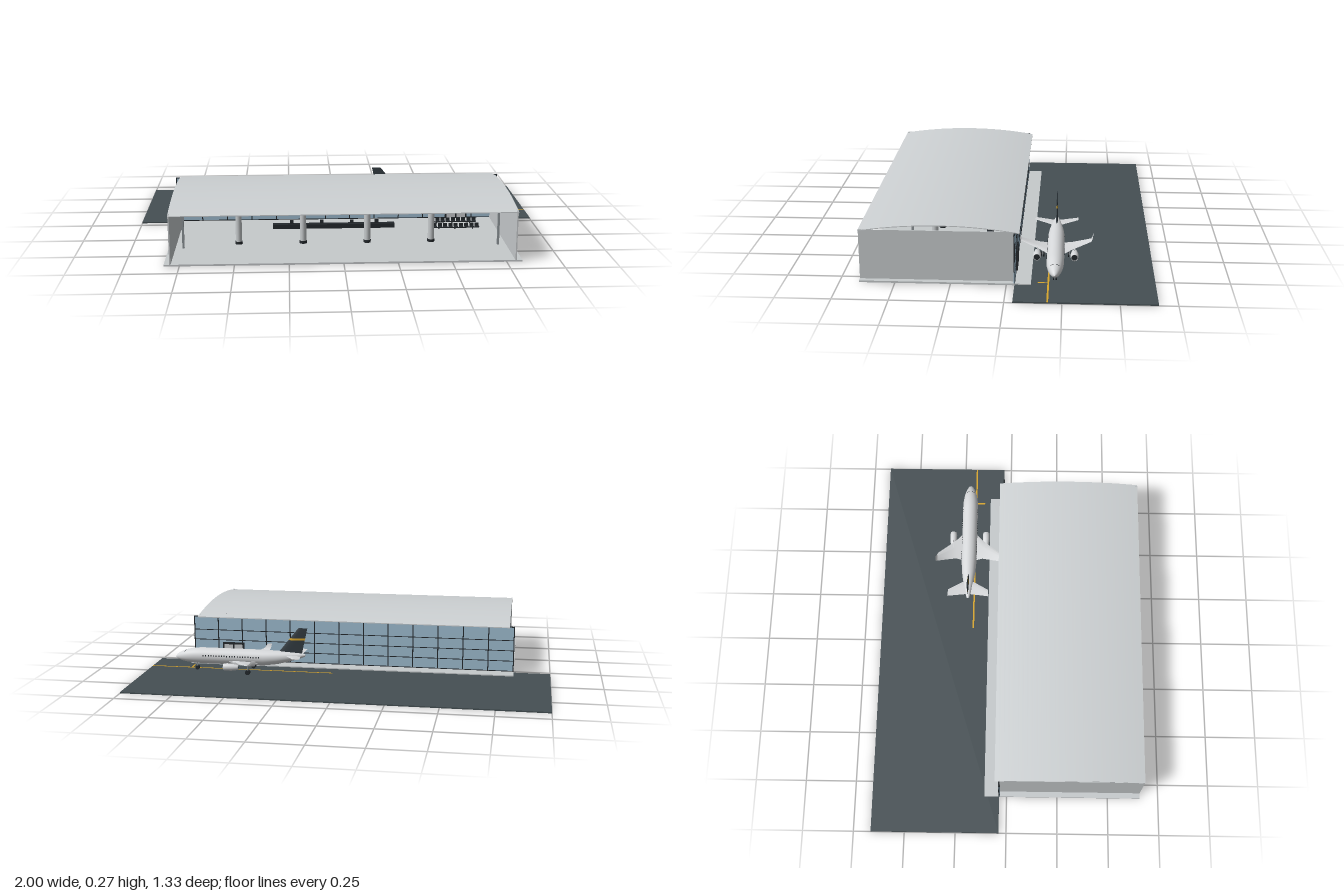
import * as THREE from 'three';
import { toCreasedNormals } from 'three/addons/utils/BufferGeometryUtils.js';

const paint = (name, color, side = THREE.FrontSide) => {
  const m = new THREE.MeshStandardMaterial({ color, side });
  m.name = name;
  return m;
};

export function createModel() {
  const concrete = paint('lightConcrete', 0xc6cacc);
  const roofMetal = paint('roofMetal', 0xcdd1d3, THREE.DoubleSide);
  const asphalt = paint('asphalt', 0x454f53);
  const glass = paint('blueGlass', 0x9fbdd1);
  const dark = paint('darkMetal', 0x23282c);
  const white = paint('aircraftWhite', 0xd6d8da);
  const navy = paint('darkTail', 0x333c42);
  const yellow = paint('yellowPaint', 0xd9a62b);
  const steel = paint('steel', 0x8d9498);

  const model = new THREE.Group();
  model.name = 'airportTerminal';
  const group = (name) => {
    const g = new THREE.Group();
    g.name = name;
    model.add(g);
    return g;
  };
  const add = (parent, name, geo, mat, x = 0, y = 0, z = 0) => {
    const m = new THREE.Mesh(geo, mat);
    m.name = name;
    m.position.set(x, y, z);
    parent.add(m);
    return m;
  };
  // Box given by its minimum and maximum on each axis
  const box = (parent, name, mat, x0, x1, y0, y1, z0, z1) =>
    add(parent, name, new THREE.BoxGeometry(x1 - x0, y1 - y0, z1 - z0), mat,
      (x0 + x1) / 2, (y0 + y1) / 2, (z0 + z1) / 2);

  // Ground
  const ground = group('ground');
  box(ground, 'apron', asphalt, -1, 1, 0, 0.006, -0.665, -0.037);
  box(ground, 'taxiLine', yellow, 0.07, 1, 0.006, 0.0068, -0.191, -0.183);
  box(ground, 'stopLine', yellow, 0.788, 0.796, 0.006, 0.0068, -0.183, -0.14);
  box(ground, 'terminalFloor', concrete, -0.82, 0.82, 0.003, 0.011, -0.11, 0.66);

  // Side walls and posts
  const hall = group('terminalHall');
  for (const s of [-1, 1]) {
    box(hall, 'sideWall', concrete, s * 0.791 - 0.003, s * 0.791 + 0.003, 0.011, 0.245, -0.033, 0.66);
    box(hall, 'wallPost', steel, s * 0.75 - 0.005, s * 0.75 + 0.005, 0.011, 0.25, 0.415, 0.425);
  }

  // Arched roof shell, drawn in side profile and extruded across the hall
  const archY = (t) => 0.241 + 0.03 * (1 - t * t);
  const profile = [];
  for (let i = 0; i <= 32; i++) {
    const t = i / 16 - 1;
    profile.push(new THREE.Vector2(0.303 + 0.36 * t, archY(t)));
  }
  const roofShape = new THREE.Shape([...profile.map((p) => new THREE.Vector2(p.x, p.y - 0.004)), ...profile.reverse()]);
  const roofGeo = new THREE.ExtrudeGeometry(roofShape, { depth: 1.59, bevelEnabled: false });
  roofGeo.translate(0, 0, -0.795).rotateY(-Math.PI / 2);
  add(hall, 'archedRoof', toCreasedNormals(roofGeo, 0.4), roofMetal);

  // Columns with dark collars
  for (let i = 0; i < 4; i++) {
    const x = -0.49 + i * 0.308;
    add(hall, 'column', new THREE.CylinderGeometry(0.015, 0.015, 0.245, 20), concrete, x, 0.1335, 0.36);
    for (const y of [0.018, 0.23])
      add(hall, 'columnCollar', new THREE.CylinderGeometry(0.0175, 0.0175, 0.013, 20), dark, x, y, 0.36);
  }

  // Glazed wall with mullions
  const glazing = group('glassWall');
  box(glazing, 'glassPane', glass, -0.82, 0.82, 0.011, 0.237, -0.038, -0.034);
  for (let i = 0; i <= 13; i++) {
    const x = -0.8175 + i * 1.635 / 13;
    box(glazing, 'mullion', dark, x - 0.0025, x + 0.0025, 0.011, 0.24, -0.04, -0.032);
  }
  for (const y of [0.013, 0.065, 0.118, 0.17, 0.238])
    box(glazing, 'rail', dark, -0.82, 0.82, y - 0.0018, y + 0.0018, -0.0395, -0.0325);

  // Boarding door
  for (const x of [0.56, 0.612, 0.665])
    box(glazing, 'doorPost', dark, x - 0.004, x + 0.004, 0.011, 0.105, -0.045, -0.027);
  box(glazing, 'doorHeader', dark, 0.556, 0.669, 0.097, 0.107, -0.045, -0.027);
  box(glazing, 'doorLeaf', concrete, 0.564, 0.661, 0.011, 0.097, -0.041, -0.031);

  // Hanging boards, counter and seats
  const interior = group('interior');
  for (const [x0, x1, y0, y1, z] of [
    [-0.165, 0.105, 0.115, 0.157, 0.1], [0.265, 0.4, 0.15, 0.177, 0.1], [0.545, 0.68, 0.122, 0.157, 0]]) {
    box(interior, 'hangingBoard', dark, x0, x1, y0, y1, z - 0.004, z + 0.004);
    for (const x of [x0 + 0.02, x1 - 0.02])
      box(interior, 'boardHanger', dark, x - 0.001, x + 0.001, y1, 0.25, z - 0.001, z + 0.001);
  }
  box(interior, 'gateStripe', yellow, 0.545, 0.68, 0.115, 0.121, -0.004, 0.004);
  box(interior, 'counter', dark, -0.33, 0.28, 0.011, 0.033, 0.1, 0.13);
  for (const x of [-0.235, -0.085, 0.065, 0.19])
    box(interior, 'counterScreen', dark, x - 0.009, x + 0.009, 0.033, 0.052, 0.113, 0.117);
  for (const z of [0.06, 0.16]) {
    for (let i = 0; i < 9; i++) {
      const x = 0.48 + i * 0.0265;
      box(interior, 'seatPad', dark, x - 0.01, x + 0.01, 0.019, 0.023, z - 0.01, z + 0.01);
      box(interior, 'seatBack', dark, x - 0.01, x + 0.01, 0.02, 0.037, z - 0.012, z - 0.009);
    }
    box(interior, 'seatBeam', dark, 0.47, 0.702, 0.015, 0.019, z - 0.002, z + 0.002);
    for (const x of [0.5, 0.58, 0.67])
      box(interior, 'seatLeg', dark, x - 0.002, x + 0.002, 0.011, 0.016, z - 0.008, z + 0.008);
  }

  // Aircraft, nose towards +x
  const plane = group('aircraft');
  plane.position.set(0, 0.08, -0.216);

  // Body of revolution with the tail swept upward
  const body = new THREE.LatheGeometry([
    [0, 0.2], [0.007, 0.203], [0.015, 0.235], [0.025, 0.285], [0.034, 0.345], [0.039, 0.41], [0.04, 0.47],
    [0.04, 0.6], [0.04, 0.725], [0.038, 0.765], [0.032, 0.805], [0.023, 0.835], [0.012, 0.857], [0, 0.866],
  ].map(([r, l]) => new THREE.Vector2(r, l)), 32);
  body.rotateZ(-Math.PI / 2);
  const p = body.attributes.position;
  for (let i = 0; i < p.count; i++) {
    const x = p.getX(i);
    if (x < 0.42) p.setY(i, p.getY(i) + 0.02 * ((0.42 - x) / 0.22) ** 1.5);
    if (x > 0.73) p.setY(i, p.getY(i) - 0.01 * ((x - 0.73) / 0.136) ** 2);
  }
  body.computeVertexNormals();
  add(plane, 'fuselage', body, white);

  // Cabin and cockpit windows, each plate crossing the body
  for (let i = 0; i < 22; i++)
    add(plane, 'cabinWindow', new THREE.BoxGeometry(0.005, 0.007, 0.0793), dark, 0.43 + i * 0.0135, 0.008, 0);
  for (const s of [-1, 1]) {
    const w = add(plane, 'cockpitWindow', new THREE.BoxGeometry(0.014, 0.003, 0.014), dark, 0.817, 0.018, s * 0.011);
    w.rotation.set(s * 0.5, 0, -0.8);
  }

  // Aerofoil loft; each section is [leading edge x, chord, thickness, y, z], z rising
  const aerofoil = [[0, 0], [-0.15, 0.42], [-0.4, 0.5], [-1, 0], [-0.4, -0.5], [-0.15, -0.42]];
  const loft = (sections) => {
    const n = aerofoil.length, pos = [], idx = [];
    for (const [x, c, t, y, z] of sections)
      for (const [u, v] of aerofoil) pos.push(x + u * c, y + v * t, z);
    const last = (sections.length - 1) * n;
    for (let i = 0; i < last; i += n)
      for (let j = 0; j < n; j++) {
        const k = (j + 1) % n;
        idx.push(i + j, i + k, i + n + k, i + j, i + n + k, i + n + j);
      }
    for (let j = 1; j < n - 1; j++) idx.push(0, j + 1, j, last, last + j, last + j + 1);
    const g = new THREE.BufferGeometry();
    g.setAttribute('position', new THREE.Float32BufferAttribute(pos, 3));
    g.setIndex(idx);
    return toCreasedNormals(g, 0.7);
  };
  const mirrored = (half) => [...half.map(([x, c, t, y, z]) => [x, c, t, y, -z]).reverse(), ...half];

  add(plane, 'wings', loft(mirrored([
    [0.6, 0.17, 0.013, -0.022, 0.02], [0.545, 0.105, 0.009, -0.015, 0.07],
    [0.465, 0.045, 0.004, -0.002, 0.165], [0.45, 0.034, 0.004, 0.004, 0.171], [0.432, 0.022, 0.003, 0.027, 0.176]])), white);
  add(plane, 'tailplane', loft(mirrored([
    [0.305, 0.08, 0.007, 0.016, 0.006], [0.246, 0.036, 0.003, 0.025, 0.105]])), white);

  // Fin, lofted flat and turned upright
  const finAt = (z, grow = 0) => {
    const t = (z - 0.02) / 0.137;
    return [0.345 - 0.11 * t + grow, 0.125 - 0.08 * t + grow * 2, 0.009 - 0.004 * t + grow, 0, z];
  };
  add(plane, 'tailFin', loft([finAt(0.02), finAt(0.157)]).rotateX(-Math.PI / 2), navy);
  add(plane, 'finBand', loft([finAt(0.095, 0.0006), finAt(0.105, 0.0006)]).rotateX(-Math.PI / 2), yellow);

  // Engines and pylons
  const nacelle = new THREE.LatheGeometry(
    [[0.009, -0.04], [0.013, -0.037], [0.018, -0.005], [0.0185, 0.02], [0.0165, 0.036], [0.014, 0.034]]
      .map(([r, l]) => new THREE.Vector2(r, l)), 24).rotateZ(-Math.PI / 2);
  const disc = new THREE.CylinderGeometry(0.0155, 0.01, 0.07, 24).rotateZ(-Math.PI / 2);
  // Landing gear: a strut with paired wheels
  const gear = (name, x, z, r) => {
    const bottom = 0.006 - 0.08;
    add(plane, name + 'Strut', new THREE.CylinderGeometry(0.0028, 0.0028, 0.045, 10), steel, x, bottom + r + 0.02, z);
    for (const s of [-1, 1])
      add(plane, name + 'Wheel', new THREE.CylinderGeometry(r, r, 0.005, 20).rotateX(Math.PI / 2), dark, x, bottom + r, z + s * 0.006);
  };
  for (const s of [-1, 1]) {
    add(plane, 'engineNacelle', nacelle, white, 0.56, -0.032, s * 0.087);
    add(plane, 'engineFan', disc, dark, 0.559, -0.032, s * 0.087);
    add(plane, 'enginePylon', new THREE.BoxGeometry(0.05, 0.012, 0.004), white, 0.525, -0.014, s * 0.087);
    gear('mainGear', 0.48, s * 0.064, 0.012);
  }
  gear('noseGear', 0.755, 0, 0.01);

  return model;
}
